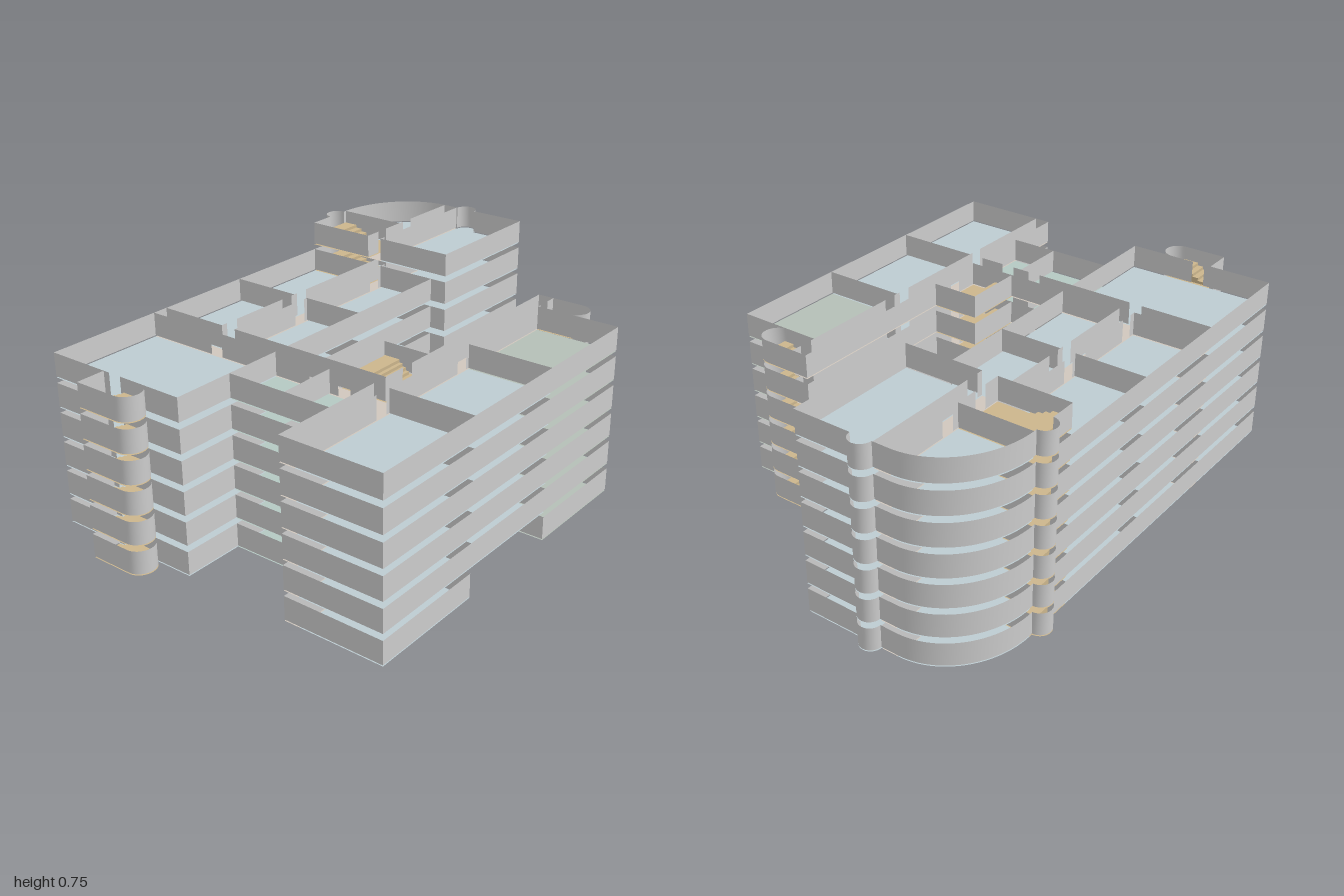
import * as THREE from 'three';
import { mergeGeometries } from 'three/addons/utils/BufferGeometryUtils.js';

const PITCH = 0.11, WALL_BASE = 0.004, WALL_TOP = 0.09, DOOR = 0.05;
const mat = (color) => new THREE.MeshStandardMaterial({ color, side: THREE.DoubleSide });

// points on an elliptical arc in plan, angles in degrees, z = cz + rz * sin
function arc(cx, cz, rx, rz, a0, a1, n = 14) {
  return Array.from({ length: n + 1 }, (_, i) => {
    const a = THREE.MathUtils.degToRad(a0 + (a1 - a0) * i / n);
    return [cx + rx * Math.cos(a), cz + rz * Math.sin(a)];
  });
}

// upright strip along a plan path
function strip(points) {
  const pos = [], idx = [];
  points.forEach(([x, z], i) => {
    pos.push(x, WALL_BASE, z, x, WALL_TOP, z);
    if (i) { const b = 2 * i; idx.push(b - 2, b, b - 1, b - 1, b, b + 1); }
  });
  const g = new THREE.BufferGeometry();
  g.setAttribute('position', new THREE.Float32BufferAttribute(pos, 3));
  g.setIndex(idx);
  g.computeVertexNormals();
  return g;
}

// straight wall with door openings given as [centre, width] along the wall's axis
function wall(x1, z1, x2, z2, doors = []) {
  const alongX = z1 === z2;
  const end = alongX ? x2 : z2;
  const at = (t) => (alongX ? [t, z1] : [x1, t]);
  const parts = [];
  let from = alongX ? x1 : z1;
  for (const d of doors) {
    const [c, w] = Array.isArray(d) ? d : [d, DOOR];
    parts.push(strip([at(from), at(c - w / 2)]));
    from = c + w / 2;
  }
  parts.push(strip([at(from), at(end)]));
  return parts;
}

function floorGeometry(points) {
  const shape = new THREE.Shape(points.map(([x, z]) => new THREE.Vector2(x, -z)));
  return new THREE.ShapeGeometry(shape).rotateX(-Math.PI / 2);
}
const rect = (x1, z1, x2, z2) => [[x1, z1], [x2, z1], [x2, z2], [x1, z2]];

// curved outlines
const quarter = arc(0.64, -0.39, 0.315, 0.272, -90, 0, 24);
const eastBay = arc(0.955, -0.285, 0.041, 0.041, -90, 90);
const northBay = arc(0.585, -0.662, 0.043, 0.043, 180, 360);
const westEnd = arc(-0.945, -0.255, 0.055, 0.053, 0, 180);
const southEnd = arc(0.493, 0.502, 0.052, 0.053, 0, 180);

// floors: [name, kind, outline, belongs to tower]
const FLOORS = [
  ['westRoomFloor', 'room', rect(-0.89, -0.662, -0.44, -0.09)],
  ['backRoomFloor', 'room', rect(-0.38, -0.662, 0, -0.39)],
  ['backRoomFloor', 'room', rect(0, -0.662, 0.44, -0.39)],
  ['innerRoomFloor', 'room', rect(-0.38, -0.33, 0, -0.09)],
  ['innerRoomFloor', 'room', rect(0, -0.33, 0.44, -0.09)],
  ['frontRoomFloor', 'room', rect(-0.89, 0.38, -0.44, 0.7)],
  ['frontMiddleFloor', 'room', rect(-0.44, 0.38, 0, 0.7)],
  ['frontEndFloor', 'sage', rect(0, 0.38, 0.44, 0.7)],
  ['linkRoomFloor', 'green', rect(-0.66, -0.09, -0.44, 0.14)],
  ['linkRoomFloor', 'green', rect(-0.66, 0.14, -0.44, 0.32)],
  ['linkCorridorFloor', 'corridor', rect(-0.44, -0.662, -0.38, 0.32)],
  ['backCorridorFloor', 'corridor', rect(-0.38, -0.39, 0.44, -0.33)],
  ['frontCorridorFloor', 'corridor', rect(-0.89, 0.32, 0.545, 0.38)],
  ['middleStairFloor', 'stair', rect(-0.38, 0.14, -0.15, 0.32)],
  ['westStairFloor', 'stair', [[-1, -0.42], [-0.89, -0.42], ...westEnd]],
  ['southStairFloor', 'stair', [[0.441, 0.38], [0.545, 0.38], ...southEnd]],
  ['towerCorridorFloor', 'corridor', rect(0.44, -0.39, 0.955, -0.33), true],
  ['towerStairFloor', 'stair', [[0.44, -0.39], [0.44, -0.662], ...northBay, [0.64, -0.662], [0.64, -0.39]], true],
  ['curvedRoomFloor', 'room', [[0.64, -0.39], ...quarter], true],
  ['towerRoomFloor', 'room', [[0.44, -0.33], [0.955, -0.33], ...eastBay, [0.955, -0.025], [0.44, -0.025]], true],
];

// walls of the tower end, repeated on every storey
const TOWER_WALLS = () => [
  ...wall(0.44, -0.662, 0.44, -0.39), ...wall(0.44, -0.33, 0.44, -0.025),
  ...wall(0.44, -0.662, 0.542, -0.662), ...wall(0.628, -0.662, 0.64, -0.662),
  ...wall(0.64, -0.662, 0.64, -0.39),
  ...wall(0.44, -0.39, 0.955, -0.39, [0.53, 0.69]),
  ...wall(0.44, -0.33, 0.955, -0.33, [0.49]),
  ...wall(0.955, -0.39, 0.955, -0.326), ...wall(0.955, -0.244, 0.955, -0.025),
  ...wall(0.44, -0.025, 0.955, -0.025),
  strip(quarter), strip(eastBay), strip(northBay),
];

// walls of the long wings, link and small stairs
const WING_WALLS = (ground) => [
  ...wall(-0.89, -0.662, 0.44, -0.662),
  ...wall(-0.89, -0.662, -0.89, -0.09, [-0.37]),
  ...wall(-0.89, -0.09, -0.44, -0.09), ...wall(-0.38, -0.09, 0.44, -0.09),
  ...wall(-0.44, -0.662, -0.44, 0.32, [-0.36, 0.08, 0.2]),
  ...wall(-0.38, -0.662, -0.38, -0.39), ...wall(-0.38, -0.33, -0.38, 0.32),
  ...wall(-0.38, -0.39, 0.44, -0.39, [-0.33, -0.04, 0.04]),
  ...wall(-0.38, -0.33, 0.44, -0.33, [-0.04, 0.04, 0.4]),
  ...wall(0, -0.662, 0, -0.39), ...wall(0, -0.33, 0, -0.09),
  ...wall(-0.66, -0.09, -0.66, 0.32), ...wall(-0.66, 0.14, -0.44, 0.14),
  ...wall(-0.89, 0.32, -0.44, 0.32), ...wall(-0.38, 0.32, 0.545, 0.32, [-0.265]),
  ...wall(-0.89, 0.38, 0.545, 0.38,
    ground ? [-0.48, [-0.225, 0.15], 0.04, 0.48] : [-0.48, -0.04, 0.04, 0.48]),
  ...wall(-0.89, 0.32, -0.89, 0.7), ...wall(0.44, 0.38, 0.44, 0.7),
  ...wall(-0.44, 0.38, -0.44, 0.7), ...wall(0, 0.38, 0, 0.7),
  ...wall(-0.89, 0.7, -0.44, 0.7), ...wall(0, 0.7, 0.44, 0.7),
  ...(ground ? [] : wall(-0.44, 0.7, 0, 0.7)),
  ...wall(-0.38, 0.14, -0.15, 0.14), ...wall(-0.15, 0.14, -0.15, 0.32),
  ...wall(-1, -0.42, -0.89, -0.42), ...wall(-1, -0.42, -1, -0.255),
  ...wall(0.545, 0.32, 0.545, 0.502),
  strip(westEnd), strip(southEnd),
];

// stair flights: x range, first step z, landing z, far end z, in tower
const STAIRS = [
  [-0.37, -0.16, 0.25, 0.21, 0.15],
  [-0.985, -0.9, -0.39, -0.32, -0.26],
  [0.45, 0.535, 0.42, 0.47, 0.51],
  [0.45, 0.63, -0.52, -0.6, -0.655, true],
];
function flight([x1, x2, z0, z1, z2]) {
  const parts = [];
  const add = (za, zb, h) => {
    const b = new THREE.BoxGeometry(x2 - x1, h, Math.abs(zb - za));
    parts.push(b.translate((x1 + x2) / 2, h / 2 + 0.001, (za + zb) / 2));
  };
  const n = 3;
  for (let i = 0; i < n; i++) {
    add(z0 + (z1 - z0) * i / n, z0 + (z1 - z0) * (i + 1) / n, 0.011 * (i + 1));
  }
  add(z1, z2, 0.044);
  return mergeGeometries(parts);
}

export function createModel() {
  const model = new THREE.Group();
  model.name = 'building';
  const mats = {
    wall: mat(0xcccccc), room: mat(0xbccbd0), sage: mat(0xb4beb6),
    green: mat(0xb4c8c2), corridor: mat(0xcfc6bc), stair: mat(0xcbb58c),
  };
  for (let s = 0; s < 7; s++) {
    const storey = new THREE.Group();
    storey.name = `storey${s + 1}`;
    storey.position.y = s * PITCH;
    const add = (name, geometry, kind) => {
      const mesh = new THREE.Mesh(geometry, mats[kind]);
      mesh.name = name;
      storey.add(mesh);
    };
    const top = s === 6, ground = s === 0;
    add('towerWalls', mergeGeometries(TOWER_WALLS()), 'wall');
    if (!top) add('wingWalls', mergeGeometries(WING_WALLS(ground)), 'wall');
    for (const [name, kind, outline, tower] of FLOORS) {
      if (top && !tower) continue;
      // open passage under the middle of the front wing
      if (ground && name === 'frontMiddleFloor') continue;
      add(name, floorGeometry(outline), kind);
    }
    for (const st of STAIRS) if (!top || st[5]) add('stairFlight', flight(st), 'stair');
    model.add(storey);
  }
  return model;
}
